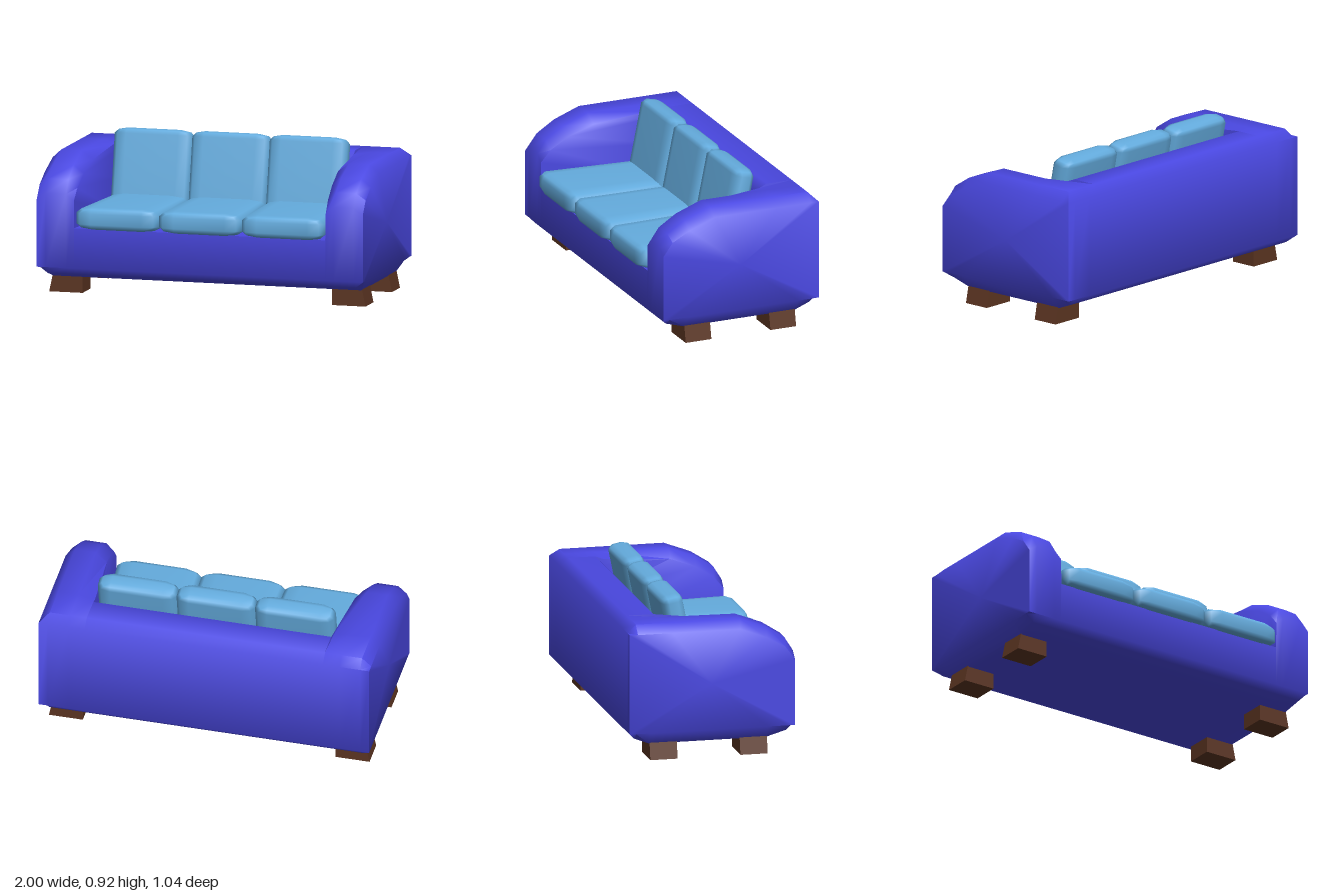
import * as THREE from 'three';
import { mergeVertices, toCreasedNormals } from 'three/addons/utils/BufferGeometryUtils.js';

const fabric = new THREE.MeshStandardMaterial({ color: 0x4a48e2 });
const cushionFabric = new THREE.MeshStandardMaterial({ color: 0x64acde });
const wood = new THREE.MeshStandardMaterial({ color: 0x5c3522 });

// Skin a list of equal-length rings (ordered by x) and close both ends with fans
function loft(rings) {
  const n = rings[0].length, pos = [], idx = [];
  rings.forEach(r => r.forEach(p => pos.push(...p)));
  for (let i = 0; i < rings.length - 1; i++) {
    for (let j = 0; j < n; j++) {
      const k = (j + 1) % n;
      const a = i * n + j, b = i * n + k, c = b + n, d = a + n;
      idx.push(a, d, c, a, c, b);
    }
  }
  [0, rings.length - 1].forEach((r, end) => {
    const centre = pos.length / 3;
    pos.push(rings[r][0][0], 0.45, -0.02);
    for (let j = 0; j < n; j++) {
      const a = r * n + j, b = r * n + (j + 1) % n;
      if (end) idx.push(centre, b, a); else idx.push(centre, a, b);
    }
  });
  const g = new THREE.BufferGeometry();
  g.setAttribute('position', new THREE.Float32BufferAttribute(pos, 3));
  g.setIndex(idx);
  return toCreasedNormals(g, 0.95);
}

// Side profiles as [z, y]: shared underside and back, different front and top
const lower = [[0.32, 0.095], [0.44, 0.13], [0.48, 0.17]];
const rear = [[-0.47, 0.82], [-0.52, 0.77], [-0.52, 0.17], [-0.48, 0.13], [-0.39, 0.095]];
const arch = [[0.48, 0.61], [0.43, 0.69], [0.32, 0.76], [0.16, 0.82], [-0.26, 0.82]];
const innerArch = [[0.48, 0.57], [0.42, 0.64], [0.31, 0.71], [0.15, 0.77], [-0.26, 0.8]];
const outerArch = [[0.48, 0.57], [0.42, 0.65], [0.31, 0.71], [0.15, 0.77], [-0.26, 0.77]];
const seat = [[0.48, 0.41], [-0.25, 0.4], [-0.255, 0.6], [-0.26, 0.77], [-0.31, 0.82]];

function createBody() {
  const ring = (profile, x) => profile.map(([z, y]) => [typeof x === 'function' ? x(z) : x, y, z]);
  // the inner arm walls close in slightly towards the back
  const wall = z => 0.737 + 0.068 * Math.max(z, -0.26);
  const armFull = [...lower, ...arch, ...rear];
  const outer = [...lower, ...outerArch, ...rear]
    .map(([z, y]) => [z, THREE.MathUtils.clamp(y, 0.17, 0.77)]);
  const half = [
    ring([...lower, ...seat, ...rear], wall),
    ring([...lower, ...innerArch, ...rear], z => wall(z) + 0.003),
    ring(armFull, 0.82),
    ring(armFull, 0.945),
    ring(outer, 1),
  ];
  const mirrored = half.map(r => r.map(([x, y, z]) => [-x, y, z])).reverse();
  return new THREE.Mesh(loft([...mirrored, ...half]), fabric);
}

// Soft block: a 3x3x3 box whose edges and corners are drawn inwards
function cushionGeometry(size, bevel) {
  let g = new THREE.BoxGeometry(1, 1, 1, 3, 3, 3);
  g.deleteAttribute('uv');
  g.deleteAttribute('normal');
  g = mergeVertices(g);
  const p = g.attributes.position;
  for (let i = 0; i < p.count; i++) {
    const v = [p.getX(i), p.getY(i), p.getZ(i)];
    const outerAxes = v.filter(c => Math.abs(c) > 0.4).length;
    const pull = [0, 0, 0.3, 0.5][outerAxes];
    const q = v.map((c, a) => Math.sign(c) *
      (size[a] / 2 - bevel[a] * (Math.abs(c) > 0.4 ? pull : 1)));
    p.setXYZ(i, ...q);
  }
  g.computeVertexNormals();
  return g;
}

export function createModel() {
  const model = new THREE.Group();
  model.name = 'sofa';

  const body = createBody();
  body.name = 'body';
  model.add(body);

  for (let i = -1; i <= 1; i++) {
    // seat cushion, narrowing towards the back
    const g = cushionGeometry([0.51, 0.135, 0.74], [0.1, 0.035, 0.045]);
    g.translate(i * 0.507 + 0.004, 0.473, 0.15);
    const p = g.attributes.position;
    for (let k = 0; k < p.count; k++) {
      p.setX(k, p.getX(k) * (1 - 0.11 * (0.48 - p.getZ(k))));
    }
    g.computeVertexNormals();
    const seatCushion = new THREE.Mesh(g, cushionFabric);
    seatCushion.name = 'seatCushion';
    model.add(seatCushion);

    // back cushion, leaning back
    const backCushion = new THREE.Mesh(
      cushionGeometry([0.478, 0.46, 0.135], [0.08, 0.035, 0.04]), cushionFabric);
    backCushion.position.set(i * 0.475 + 0.004, 0.685, -0.142);
    backCushion.rotation.x = -0.2;
    backCushion.name = 'backCushion';
    model.add(backCushion);
  }

  // short feet, flared outwards at the bottom
  for (const side of [-1, 1]) {
    for (const z of [0.24, -0.305]) {
      const g = new THREE.BoxGeometry(0.18, 0.12, 0.165);
      const p = g.attributes.position;
      for (let k = 0; k < p.count; k++) {
        if (p.getY(k) < 0 && p.getX(k) * side > 0) p.setX(k, side * 0.115);
      }
      g.computeVertexNormals();
      const foot = new THREE.Mesh(g, wood);
      foot.position.set(side * 0.855, 0.06, z);
      foot.name = 'foot';
      model.add(foot);
    }
  }
  return model;
}
